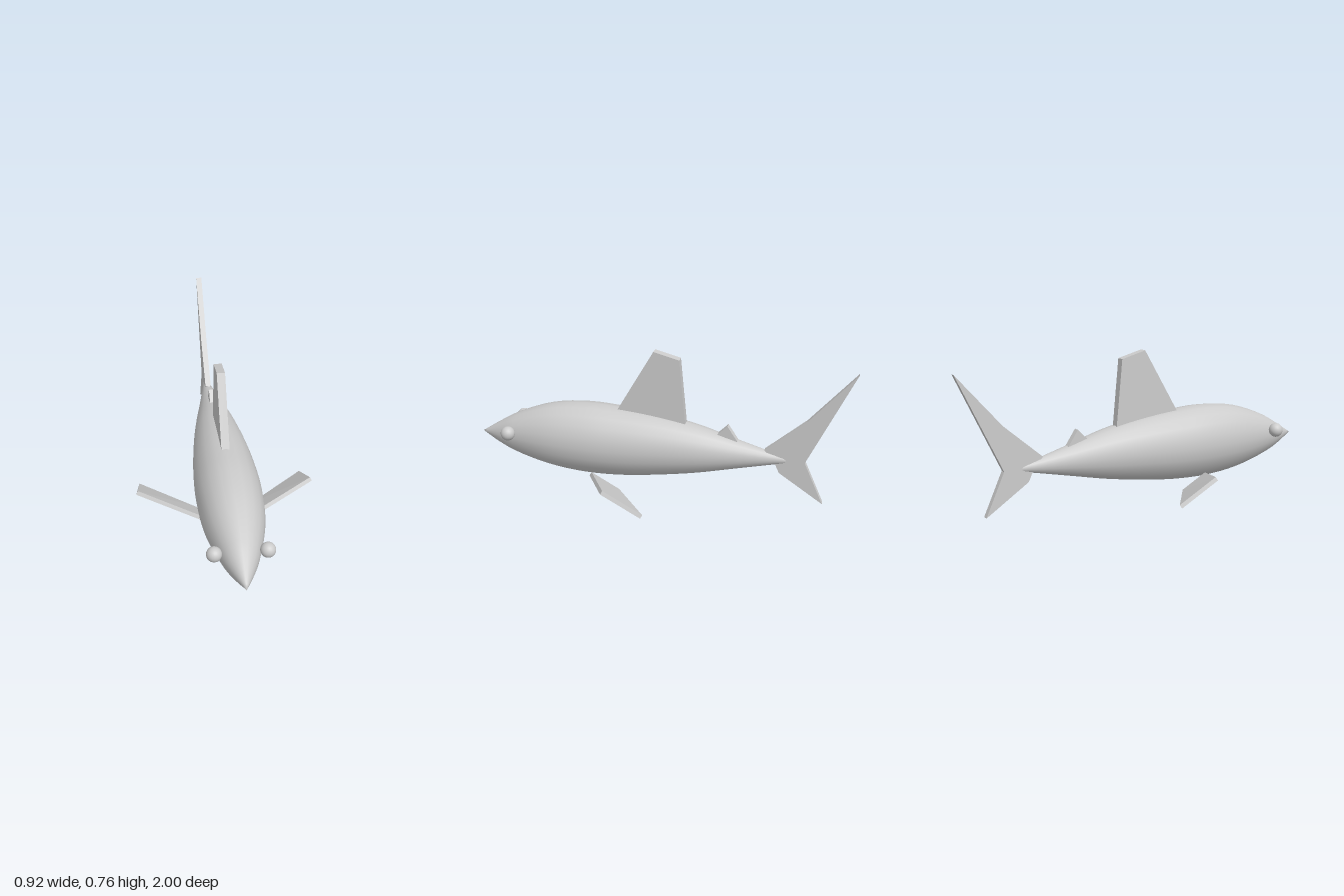
import * as THREE from 'three';
import { mergeVertices } from 'three/addons/utils/BufferGeometryUtils.js';
import { ConvexGeometry } from 'three/addons/geometries/ConvexGeometry.js';

const material = new THREE.MeshStandardMaterial({ color: 0xcccccc });

function addMesh(group, name, geometry) {
  const mesh = new THREE.Mesh(geometry, material);
  mesh.name = name;
  group.add(mesh);
  return mesh;
}

// Spindle body: a lathe along z, squeezed sideways and following a centre line
function bodyGeometry() {
  // [half height, centre height, z] from tail to nose
  const stations = [
    [0, 0.224, -0.682], [0.014, 0.225, -0.672], [0.031, 0.227, -0.6],
    [0.08, 0.233, -0.4], [0.13, 0.24, -0.2], [0.165, 0.243, 0],
    [0.188, 0.243, 0.2], [0.195, 0.246, 0.4], [0.173, 0.245, 0.6],
    [0.11, 0.234, 0.8], [0.06, 0.226, 0.9], [0, 0.22, 1],
  ];
  const curve = new THREE.CatmullRomCurve3(stations.map((s) => new THREE.Vector3(...s)));
  const rows = curve.getPoints(44);
  const profile = rows.map((p) => new THREE.Vector2(Math.max(p.x, 0), p.z));
  const geometry = new THREE.LatheGeometry(profile, 20);
  geometry.rotateX(Math.PI / 2);
  const pos = geometry.attributes.position;
  for (let i = 0; i < pos.count; i++) {
    pos.setX(i, pos.getX(i) * 0.86);
    pos.setY(i, pos.getY(i) + rows[i % rows.length].y);
  }
  geometry.deleteAttribute('uv');
  geometry.deleteAttribute('normal');
  const merged = mergeVertices(geometry, 1e-5);
  merged.computeVertexNormals();
  return merged;
}

// Upright fin on the centre plane from a [z, y] outline
function uprightFin(outline, thickness) {
  const shape = new THREE.Shape(outline.map(([z, y]) => new THREE.Vector2(z, y)));
  const geometry = new THREE.ExtrudeGeometry(shape, { depth: thickness, bevelEnabled: false });
  geometry.translate(0, 0, -thickness / 2);
  geometry.rotateY(-Math.PI / 2);
  return geometry;
}

// Tilted side fin: four underside corners thickened along the plate normal
function sideFin(side) {
  const lower = [
    [0.123, 0.077, 0.36], [0.46, 0.155, 0.2], [0.443, 0.035, 0], [0.155, 0.012, 0.2],
  ].map(([x, y, z]) => new THREE.Vector3(x * side, y, z));
  const offset = new THREE.Vector3(-0.387 * side, 0.825, -0.412).multiplyScalar(0.021);
  return new ConvexGeometry([...lower, ...lower.map((p) => p.clone().add(offset))]);
}

export function createModel() {
  const group = new THREE.Group();
  group.name = 'fish';

  addMesh(group, 'body', bodyGeometry());

  // Fins along the back
  addMesh(group, 'dorsalFin', uprightFin(
    [[0.24, 0.41], [0.035, 0.765], [-0.1, 0.73], [-0.137, 0.35]], 0.042));
  addMesh(group, 'smallDorsalFin', uprightFin(
    [[-0.29, 0.325], [-0.355, 0.39], [-0.415, 0.3]], 0.034));

  // Forked tail
  addMesh(group, 'tailFin', uprightFin(
    [[-0.55, 0.275], [-0.76, 0.455], [-1, 0.727], [-0.76, 0.225],
      [-0.86, 0.002], [-0.63, 0.155], [-0.6, 0.22]], 0.03));

  // Mirrored eyes and side fins
  for (const [label, side] of [['left', 1], ['right', -1]]) {
    const eye = addMesh(group, label + 'Eye', new THREE.SphereGeometry(0.038, 20, 14));
    eye.position.set(0.128 * side, 0.277, 0.807);
    addMesh(group, label + 'SideFin', sideFin(side));
  }
  return group;
}
